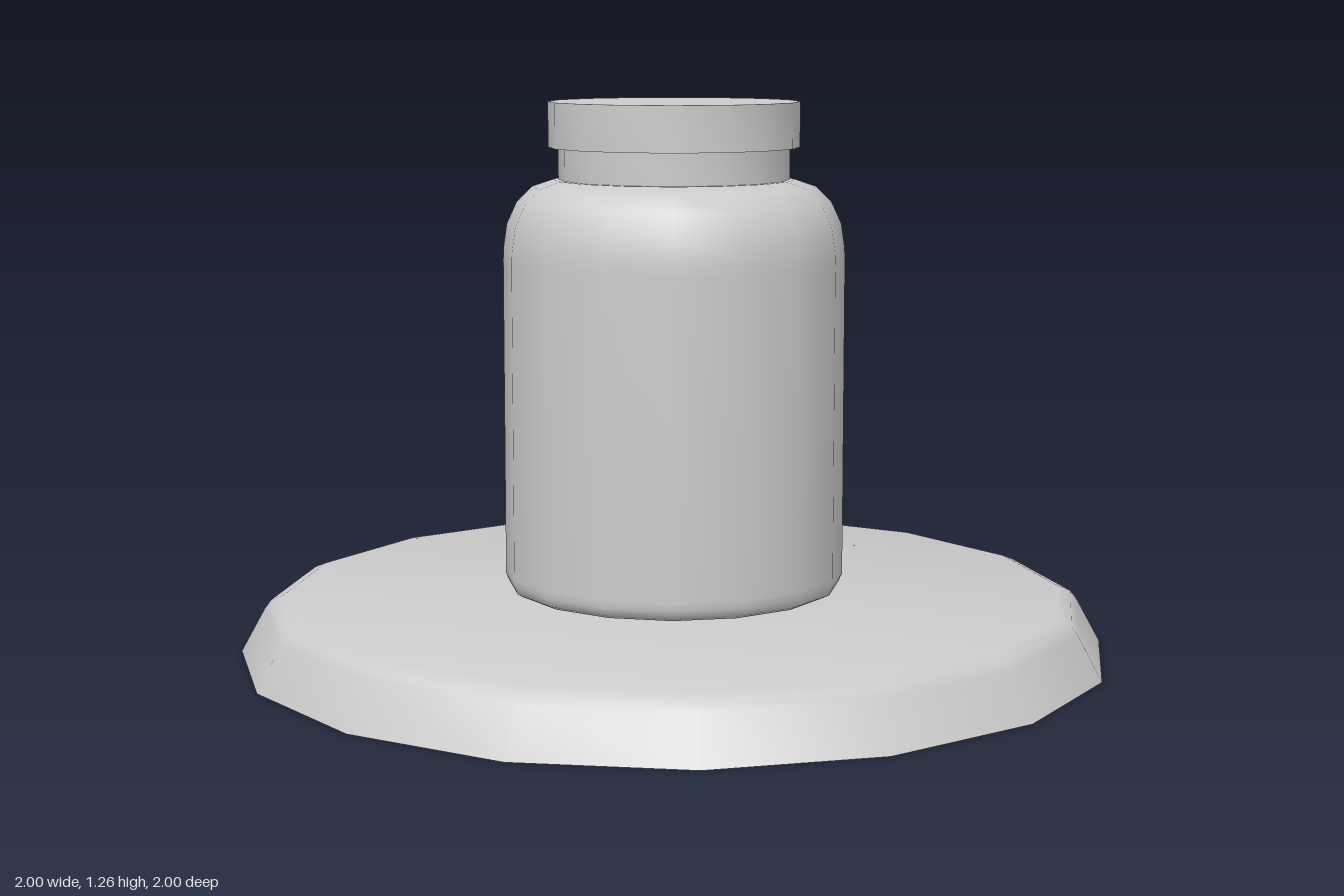
import * as THREE from 'three';
import { toCreasedNormals } from 'three/addons/utils/BufferGeometryUtils.js';

const SIDES = 16;
const material = new THREE.MeshStandardMaterial({ color: 0xcccccc, side: THREE.DoubleSide });

// Turned part from [radius, height] pairs, listed bottom to top
function turned(name, profile) {
  const points = profile.map(([r, y]) => new THREE.Vector2(r, y));
  const geometry = toCreasedNormals(new THREE.LatheGeometry(points, SIDES), 0.8);
  const mesh = new THREE.Mesh(geometry, material);
  mesh.name = name;
  return mesh;
}

export function createModel() {
  const model = new THREE.Group();
  model.name = 'jarOnBase';

  // Wide round base: a thin shell, open underneath, with a sloped, softened rim
  model.add(turned('base', [
    [1, 0], [0.945, 0.1], [0.93, 0.12], [0.9, 0.132], [0, 0.132],
  ]));

  // Jar, turned slightly relative to the base and floating just above it
  const jar = new THREE.Group();
  jar.name = 'jar';
  jar.rotation.y = -0.06;

  // Body with a small bottom bevel and rounded shoulder
  jar.add(turned('jarBody', [
    [0, 0.146], [0.367, 0.146], [0.382, 0.154], [0.39, 0.172], [0.39, 0.19], [0.39, 0.9],
    [0.389, 0.93], [0.381, 0.985], [0.358, 1.035], [0.322, 1.07], [0.275, 1.086], [0.262, 1.086],
  ]));

  // Neck
  jar.add(turned('neck', [[0.263, 1.08], [0.263, 1.16]]));

  // Overhanging lid
  jar.add(turned('lid', [[0.263, 1.159], [0.286, 1.159], [0.286, 1.262], [0, 1.262]]));

  model.add(jar);
  return model;
}
